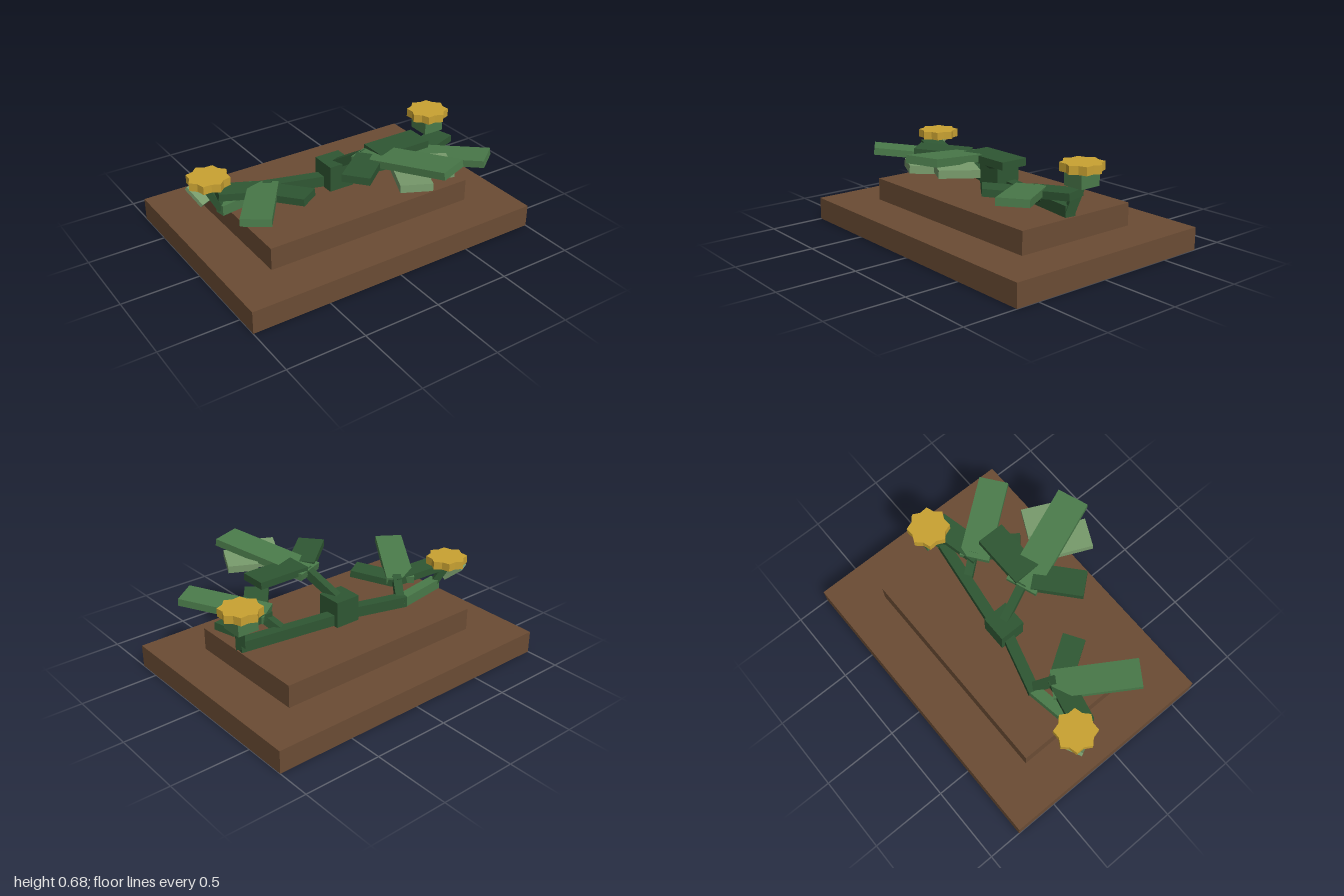
import * as THREE from 'three';

const mat = (name, color) => Object.assign(new THREE.MeshStandardMaterial({ color }), { name });

export function createModel() {
  const model = new THREE.Group();
  const brown = mat('earth brown', 0x6b4c34);
  const dark = mat('dark green', 0x2f5733);
  const mid = mat('leaf green', 0x4a7a4a);
  const light = mat('pale green', 0x789b6c);
  const gold = mat('petal gold', 0xc9a232);

  function add(name, geometry, material) {
    const mesh = new THREE.Mesh(geometry, material);
    mesh.name = name;
    model.add(mesh);
    return mesh;
  }

  // Upright box from its lower and upper corners
  function block(name, lo, hi, material) {
    const m = add(name, new THREE.BoxGeometry(...hi.map((v, i) => v - lo[i])), material);
    m.position.set(...hi.map((v, i) => (v + lo[i]) / 2));
  }

  // Box running from point a to point b, its width kept level
  function beam(name, a, b, width, thick, material) {
    const p = new THREE.Vector3(...a), q = new THREE.Vector3(...b);
    const m = add(name, new THREE.BoxGeometry(width, thick, p.distanceTo(q)), material);
    m.position.copy(p).lerp(q, 0.5);
    m.lookAt(q);
  }
  const leaf = (name, a, b, material, width = 0.19) => beam(name, a, b, width, 0.046, material);
  const stalk = (name, a, b, width = 0.055) => beam(name, a, b, width, width, dark);

  // Star-shaped flower head lying flat
  function flower(name, x, y, z, turn) {
    const shape = new THREE.Shape();
    for (let i = 0; i < 16; i++) {
      const r = i % 2 ? 0.11 : 0.134, t = (i * Math.PI) / 8 + turn;
      shape[i ? 'lineTo' : 'moveTo'](r * Math.cos(t), r * Math.sin(t));
    }
    shape.closePath();
    const geo = new THREE.ExtrudeGeometry(shape, { depth: 0.052, bevelEnabled: false });
    geo.rotateX(-Math.PI / 2);
    add(name, geo, gold).position.set(x, y, z);
  }

  // Stepped ground
  block('lowerStep', [-1, 0, -0.78], [1, 0.145, 0.65], brown);
  block('upperStep', [-0.715, 0.145, -0.49], [0.715, 0.29, 0.365], brown);

  // Main stem and low branches
  block('stemBlock', [-0.085, 0.29, -0.155], [0.085, 0.46, 0.015], dark);
  stalk('leftBranch', [0, 0.33, -0.105], [0.71, 0.33, -0.005], 0.07);
  stalk('rightBranch', [0, 0.33, -0.07], [-0.44, 0.33, -0.195], 0.07);
  beam('rightBranchEnd', [-0.41, 0.325, -0.19], [-0.78, 0.325, -0.13], 0.07, 0.066, mid);

  // Leaf stalks
  stalk('centreLeafStalk', [0, 0.42, -0.08], [0.08, 0.57, 0.15]);
  stalk('leftLeafStalk', [0.4, 0.32, -0.04], [0.49, 0.43, 0.09]);
  stalk('rightLeafStalk', [-0.4, 0.32, -0.2], [-0.49, 0.43, -0.06]);

  // Centre leaves
  leaf('centreLeaf', [0.07, 0.565, 0.125], [0.29, 0.66, 0.73], mid, 0.205);
  leaf('centreSideLeaf', [0.1, 0.59, 0.2], [0.455, 0.59, 0.2], dark, 0.18);
  leaf('centreSideLeaf', [0.07, 0.58, 0.22], [-0.178, 0.597, 0.427], dark, 0.17);
  leaf('paleLeaf', [0.2, 0.56, 0.41], [0.07, 0.583, 0.675], light);
  leaf('paleLeaf', [0.375, 0.575, 0.41], [0.27, 0.585, 0.62], light);

  // Left leaves
  leaf('leftLeaf', [0.45, 0.425, 0.06], [0.77, 0.487, 0.485], mid);
  leaf('leftInnerLeaf', [0.52, 0.41, 0.1], [0.33, 0.44, 0.34], dark, 0.15);
  leaf('leftOuterLeaf', [0.45, 0.42, 0.11], [0.785, 0.45, 0.025], dark, 0.15);

  // Right leaves
  leaf('rightLeaf', [-0.49, 0.415, -0.1], [-0.79, 0.478, 0.345], mid, 0.18);
  leaf('rightInnerLeaf', [-0.5, 0.4, -0.04], [-0.35, 0.428, 0.2], dark, 0.145);
  leaf('rightOuterLeaf', [-0.48, 0.41, -0.04], [-0.8, 0.45, -0.12], dark, 0.14);

  // Flowers with stalks, bud and small leaf
  stalk('leftFlowerStalk', [0.7, 0.32, -0.005], [0.735, 0.5, -0.06]);
  block('leftBud', [0.66, 0.475, -0.143], [0.8, 0.566, 0.003], mid);
  flower('leftFlower', 0.73, 0.564, -0.07, 0.2);
  stalk('rightFlowerStalk', [-0.76, 0.32, -0.13], [-0.84, 0.49, -0.2], 0.045);
  beam('smallPaleLeaf', [-0.84, 0.37, -0.17], [-0.89, 0.46, -0.27], 0.1, 0.025, light);
  flower('rightFlower', -0.81, 0.478, -0.195, 0.12);

  return model;
}
